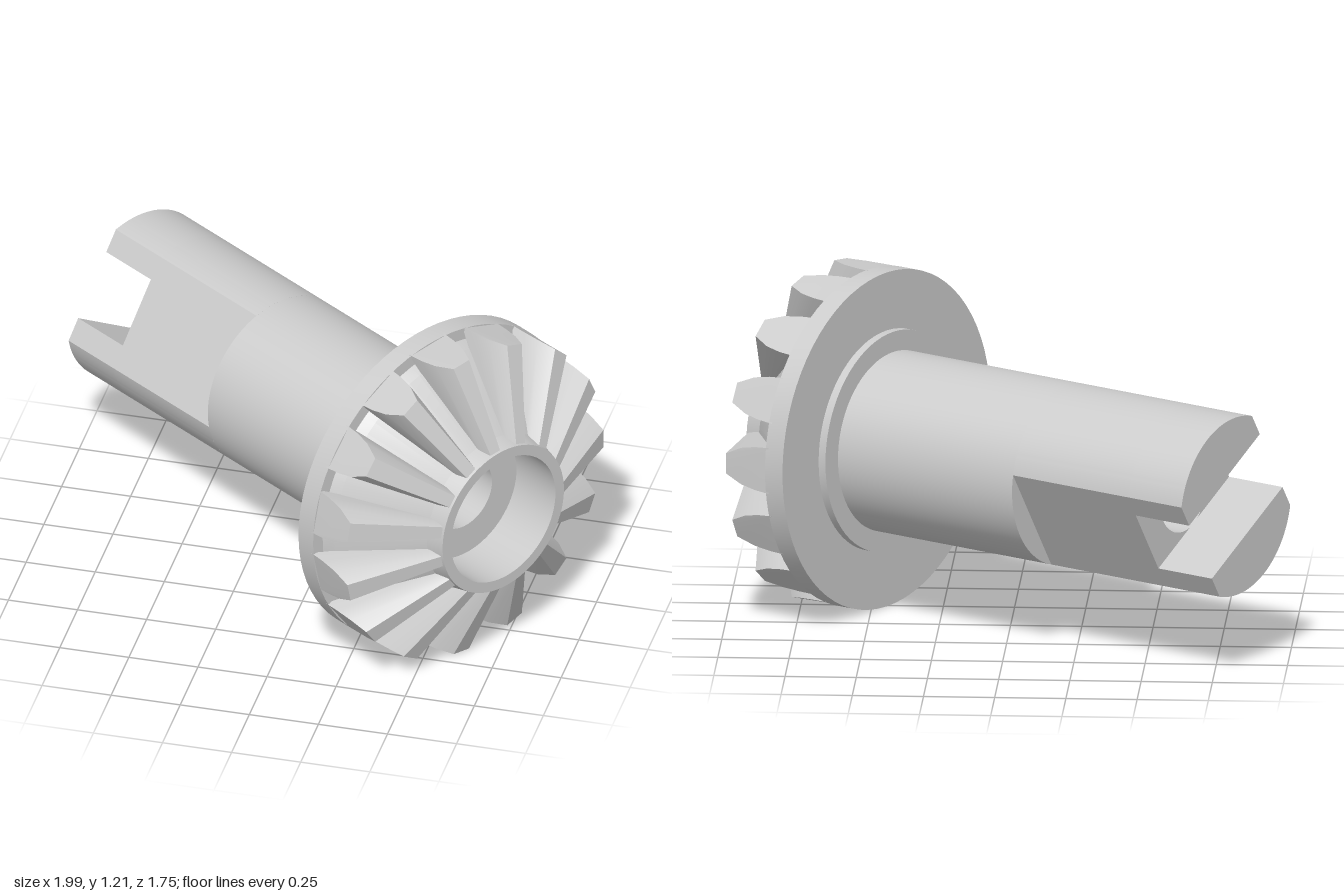
import * as THREE from 'three';
import { toCreasedNormals } from 'three/addons/utils/BufferGeometryUtils.js';

const R = 0.322;          // shaft radius
const BORE = 0.13;        // through-bore radius
const TEETH = 15;
const rad = THREE.MathUtils.degToRad;

// One tapered tooth lofted along +x from the inner ring to the outer rim
function toothGeometry() {
  const section = (r, half) => {
    const loop = [...half, ...half.map(([w, s]) => [-w, s]).reverse()];
    return loop.map(([w, s]) => [Math.sqrt(r * r - w * w), w, s]);
  };
  const inner = section(0.288, [[0.036, 0.8], [0.033, 0.86], [0.022, 0.897]]);
  const outer = section(0.605, [[0.083, 0.57], [0.078, 0.63], [0.066, 0.69], [0.036, 0.755]]);
  // match the point count of both sections
  const extra = (a, b) => a.map((v, k) => (v + b[k]) / 2);
  inner.splice(1, 0, extra(inner[0], inner[1]));
  inner.splice(6, 0, extra(inner[5], inner[6]));
  const n = outer.length;
  const pos = [];
  for (let i = 0; i < n; i++) {
    const j = (i + 1) % n;
    pos.push(...inner[i], ...outer[j], ...outer[i]);
    pos.push(...inner[i], ...inner[j], ...outer[j]);
    if (i > 0 && i < n - 1) {
      pos.push(...outer[0], ...outer[i], ...outer[j]);
      pos.push(...inner[0], ...inner[j], ...inner[i]);
    }
  }
  const g = new THREE.BufferGeometry();
  g.setAttribute('position', new THREE.Float32BufferAttribute(pos, 3));
  return toCreasedNormals(g, 0.45);
}

// Extrude a cross-section along the axis from s0 to s1
function extrudeAlong(shape, s0, s1) {
  const g = new THREE.ExtrudeGeometry(shape, { depth: s1 - s0, bevelEnabled: false, curveSegments: 24 });
  g.translate(0, 0, s0);
  return toCreasedNormals(g, 0.5);
}

export function createModel() {
  const model = new THREE.Group();
  model.name = 'bevelGearShaft';
  const mat = new THREE.MeshStandardMaterial({ color: 0xcccccc });
  const gear = new THREE.Group();
  gear.name = 'gearAssembly';
  model.add(gear);
  const add = (geo, name, rotZ = 0) => {
    const m = new THREE.Mesh(geo, mat);
    m.name = name;
    m.rotation.z = rotZ;
    gear.add(m);
  };

  // Round shaft, collar, rim, root cone, front ring and counterbore
  const profile = [
    [BORE, -0.29], [R, -0.29], [R, 0.475], [0.395, 0.475], [0.395, 0.505],
    [0.605, 0.505], [0.605, 0.582], [0.56, 0.582], [0.54, 0.62], [0.3, 0.84],
    [0.285, 0.905], [0.245, 0.905], [0.245, 0.7], [BORE, 0.7], [BORE, -0.29],
  ].map(([r, s]) => new THREE.Vector2(r, s));
  const body = new THREE.LatheGeometry(profile, 72);
  body.rotateX(Math.PI / 2);
  add(toCreasedNormals(body, 0.35), 'gearBodyAndShaft');

  // Teeth
  const tooth = toothGeometry();
  for (let i = 0; i < TEETH; i++) add(tooth, 'tooth', (i / TEETH) * Math.PI * 2);

  // Shaft end with two opposite flats
  const tilt = rad(149);
  const flatted = new THREE.Shape();
  flatted.absarc(0, 0, R, rad(42), rad(138));
  flatted.absarc(0, 0, R, rad(222), rad(318));
  flatted.closePath();
  const bore = new THREE.Path();
  bore.absarc(0, 0, BORE, 0, Math.PI * 2, true);
  flatted.holes.push(bore);
  add(extrudeAlong(flatted, -0.795, -0.29), 'flattedShaft', tilt);

  // Two prongs either side of the drive slot
  const flatX = R * Math.cos(rad(42));
  const prong = new THREE.Shape();
  prong.absarc(0, 0, R, rad(42), rad(138));
  prong.lineTo(-flatX, 0.128);
  prong.lineTo(flatX, 0.128);
  prong.closePath();
  const prongGeo = extrudeAlong(prong, -1.03, -0.795);
  for (const turn of [0, Math.PI]) add(prongGeo, 'prong', tilt + turn);

  // Lay the axis horizontally, turned towards the front left
  const yaw = rad(56.1);
  gear.rotation.y = yaw;
  gear.position.set(0.053 * Math.cos(yaw), 0.607, -0.053 * Math.sin(yaw));
  return model;
}
